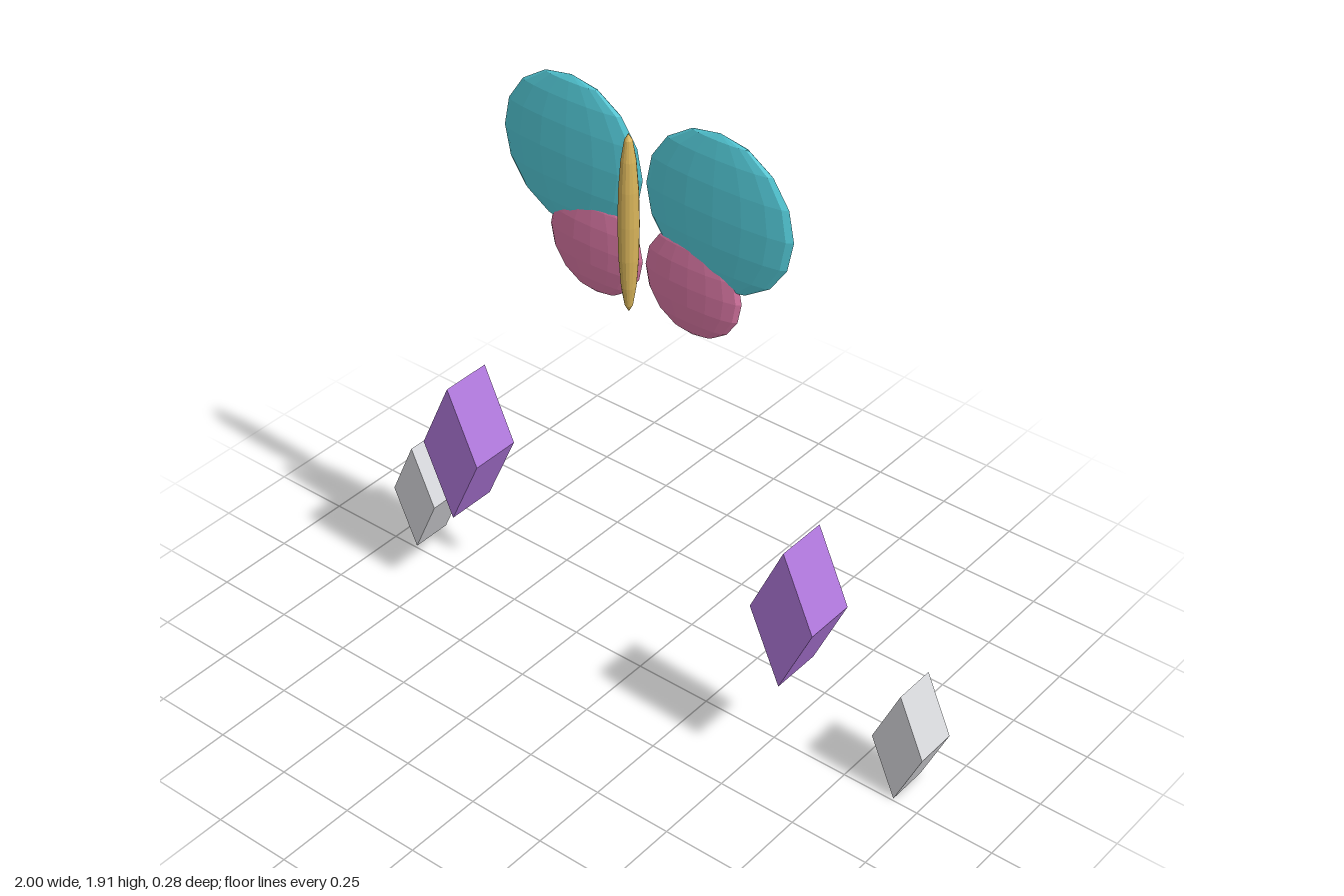
import * as THREE from 'three';

const paint = (name, color) => {
  const m = new THREE.MeshStandardMaterial({ color });
  m.name = name;
  m.flatShading = true;
  return m;
};

export function createModel() {
  const group = new THREE.Group();
  const teal = paint('teal', 0x56d0de);
  const pink = paint('pink', 0xdf7aa8);
  const gold = paint('gold', 0xd8b45a);
  const purple = paint('purple', 0xb078dc);
  const silver = paint('silver', 0xd8d9dd);

  const add = (name, geometry, material, x, y, z) => {
    const mesh = new THREE.Mesh(geometry, material);
    mesh.name = name;
    mesh.position.set(x, y, z);
    group.add(mesh);
  };

  // Faceted ball stretched to the given half sizes
  const ellipsoid = (rx, ry, rz) => new THREE.SphereGeometry(1, 16, 8).scale(rx, ry, rz);

  // Upright rhombus with straight depth, centred on its origin
  const diamond = (halfWidth, halfHeight, depth) => {
    const shape = new THREE.Shape([
      new THREE.Vector2(halfWidth, 0),
      new THREE.Vector2(0, halfHeight),
      new THREE.Vector2(-halfWidth, 0),
      new THREE.Vector2(0, -halfHeight),
    ]);
    return new THREE.ExtrudeGeometry(shape, { depth, bevelEnabled: false })
      .translate(0, 0, -depth / 2);
  };

  // Butterfly body
  add('body', ellipsoid(0.03, 0.277, 0.03), gold, 0, 1.575, 0.049);

  // Mirrored wings and floating crystals
  for (const [side, s] of [['left', 1], ['right', -1]]) {
    add(side + 'UpperWing', ellipsoid(0.243, 0.237, 0.029), teal, s * 0.249, 1.674, -0.018);
    add(side + 'LowerWing', ellipsoid(0.163, 0.161, 0.027), pink, s * 0.168, 1.42, -0.017);
    add(side + 'LargeCrystal', diamond(0.106, 0.235, 0.165), purple, s * 0.608, 0.585, 0.059);
    add(side + 'SmallCrystal', diamond(0.085, 0.19, 0.136), silver, s * 0.915, 0.19, -0.075);
  }
  return group;
}
